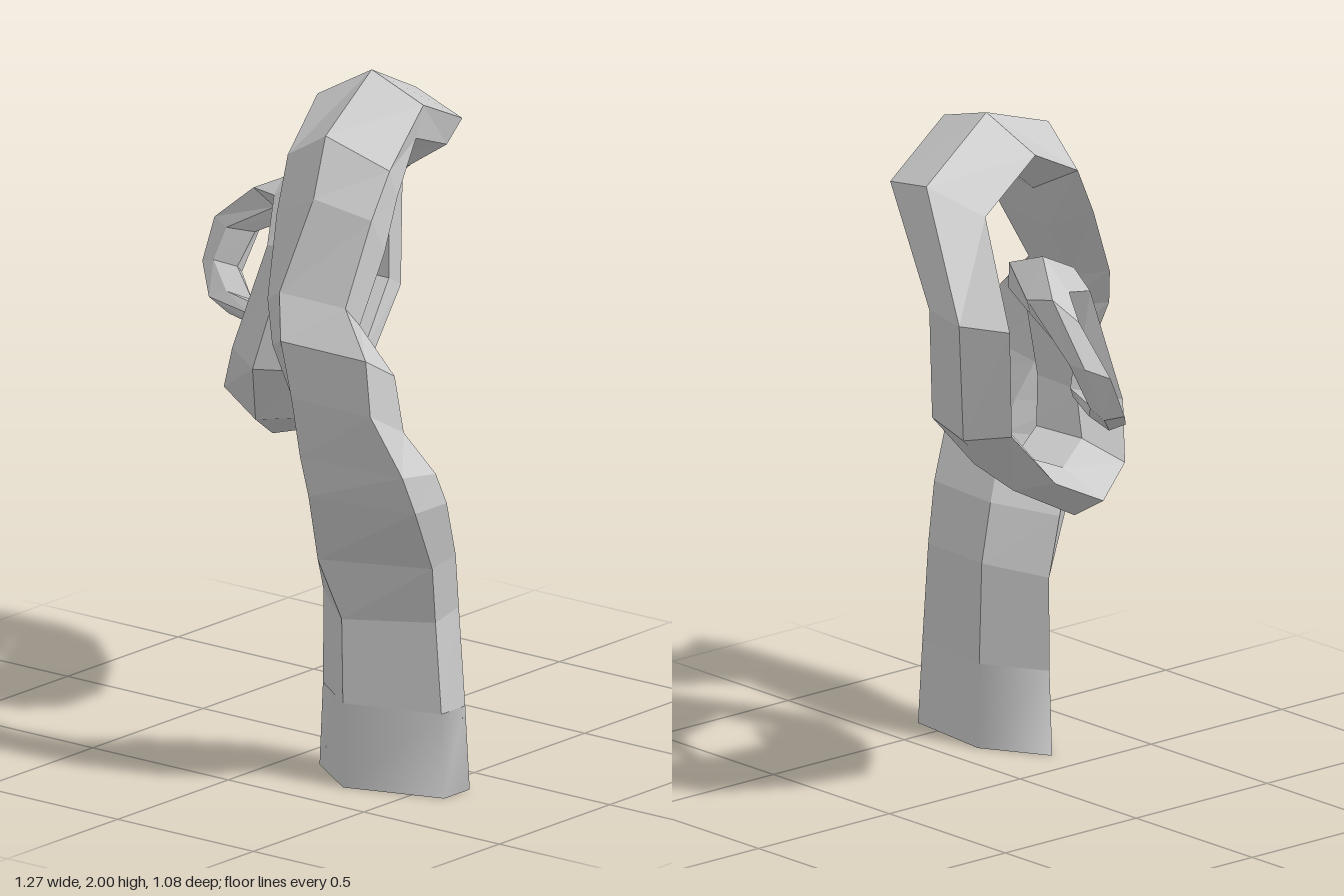
import * as THREE from 'three';

// Each ring: outer z, outer y, inner z, inner y, x min, x max,
// then where the ridge sits across the width and how far out the left edge sits
const STEM = [
  [0.35, 0, 0.105, 0, 0.105, 0.595, 0.4, 0.6],
  [0.345, 0.25, 0.115, 0.25, 0.12, 0.585, 0.38, 0.6],
  [0.345, 0.50, 0.12, 0.55, 0.125, 0.565, 0.38, 0.6],
  [0.39, 0.68, 0.165, 0.72, 0.13, 0.59, 0.24, 0.6],
  [0.49, 0.90, 0.26, 0.90, 0.19, 0.635, 0.22, 0.75],
  [0.51, 1.02, 0.30, 0.99, 0.185, 0.625, 0.2, 0.85],
  [0.535, 1.20, 0.35, 1.10, 0.19, 0.545, 0.2, 0.95],
  [0.53, 1.36, 0.37, 1.27, 0.115, 0.525, 0.25, 0.95],
  [0.44, 1.47, 0.36, 1.39, 0.06, 0.38, 0.25, 0.95],
  [0.33, 1.73, 0.24, 1.57, 0, 0.375, 0.47, 0.8],
  [0.235, 1.89, 0.16, 1.71, -0.03, 0.355, 0.45, 0.6],
  [-0.075, 2.00, -0.01, 1.825, -0.11, 0.27, 0.45, 0.65],
];
const CURL = [
  [-0.38, 1.86, -0.245, 1.74, -0.195, 0.185],
  [-0.54, 1.55, -0.42, 1.55, -0.49, -0.17],
  [-0.515, 1.20, -0.41, 1.26, -0.48, -0.16],
  [-0.30, 1.00, -0.25, 1.09, -0.46, -0.12],
  [-0.03, 0.86, -0.09, 1.02, -0.43, -0.07],
  [0.14, 0.955, 0.05, 1.06, -0.35, 0],
  [0.245, 1.145, 0.095, 1.18, -0.26, 0.055],
  [0.165, 1.51, 0.085, 1.45, -0.165, 0.1],
  [-0.085, 1.63, -0.09, 1.485, -0.31, -0.05],
  [-0.205, 1.565, -0.18, 1.48, -0.47, -0.25],
  [-0.25, 1.41, -0.19, 1.38, -0.635, -0.47],
  [-0.19, 1.25, -0.15, 1.29, -0.64, -0.5],
  [-0.075, 1.17, -0.075, 1.235, -0.54, -0.38],
  [0.005, 1.18, -0.015, 1.235, -0.34, -0.23],
  [0.085, 1.29, 0.04, 1.29, -0.22, -0.18],
];

// Pentagon with a ridge on the outer side; u runs across x, v from inner to outer
function ringPoints([zOut, yOut, zIn, yIn, x0, x1, ridge = 0.45, edge = 0.65]) {
  const section = [[0, 0.45], [ridge, 1], [1, edge], [1, 0.13], [0.4, 0]];
  return section.map(([u, v]) => [
    THREE.MathUtils.lerp(x0, x1, u),
    THREE.MathUtils.lerp(yIn, yOut, v),
    THREE.MathUtils.lerp(zIn, zOut, v),
  ]);
}

function loft(rings) {
  const n = 5;
  const sides = rings.map(ringPoints);
  // The end rings are repeated so the caps keep a sharp rim
  const points = [...sides, sides[0], sides[sides.length - 1]].flat(2);
  const index = [];
  for (let i = 0; i < rings.length - 1; i++) {
    for (let j = 0; j < n; j++) {
      const a = i * n + j;
      const b = i * n + ((j + 1) % n);
      index.push(a, b, b + n, a, b + n, a + n);
    }
  }
  const bottom = rings.length * n;
  const top = bottom + n;
  for (let j = 1; j < n - 1; j++) {
    index.push(bottom, bottom + j + 1, bottom + j);
    index.push(top, top + j, top + j + 1);
  }
  const geometry = new THREE.BufferGeometry();
  geometry.setAttribute('position', new THREE.Float32BufferAttribute(points, 3));
  geometry.setIndex(index);
  geometry.computeVertexNormals();
  return geometry;
}

export function createModel() {
  const group = new THREE.Group();
  group.name = 'curledTentacle';
  const addPart = (name, rings, flatShading) => {
    const material = new THREE.MeshStandardMaterial({ color: 0xcccccc, flatShading });
    const mesh = new THREE.Mesh(loft(rings), material);
    mesh.name = name;
    group.add(mesh);
  };
  // Smooth foot, then one faceted body: rising stem and tapering spiral
  addPart('base', STEM.slice(0, 2), false);
  addPart('tentacle', [...STEM.slice(1), ...CURL], true);
  return group;
}
